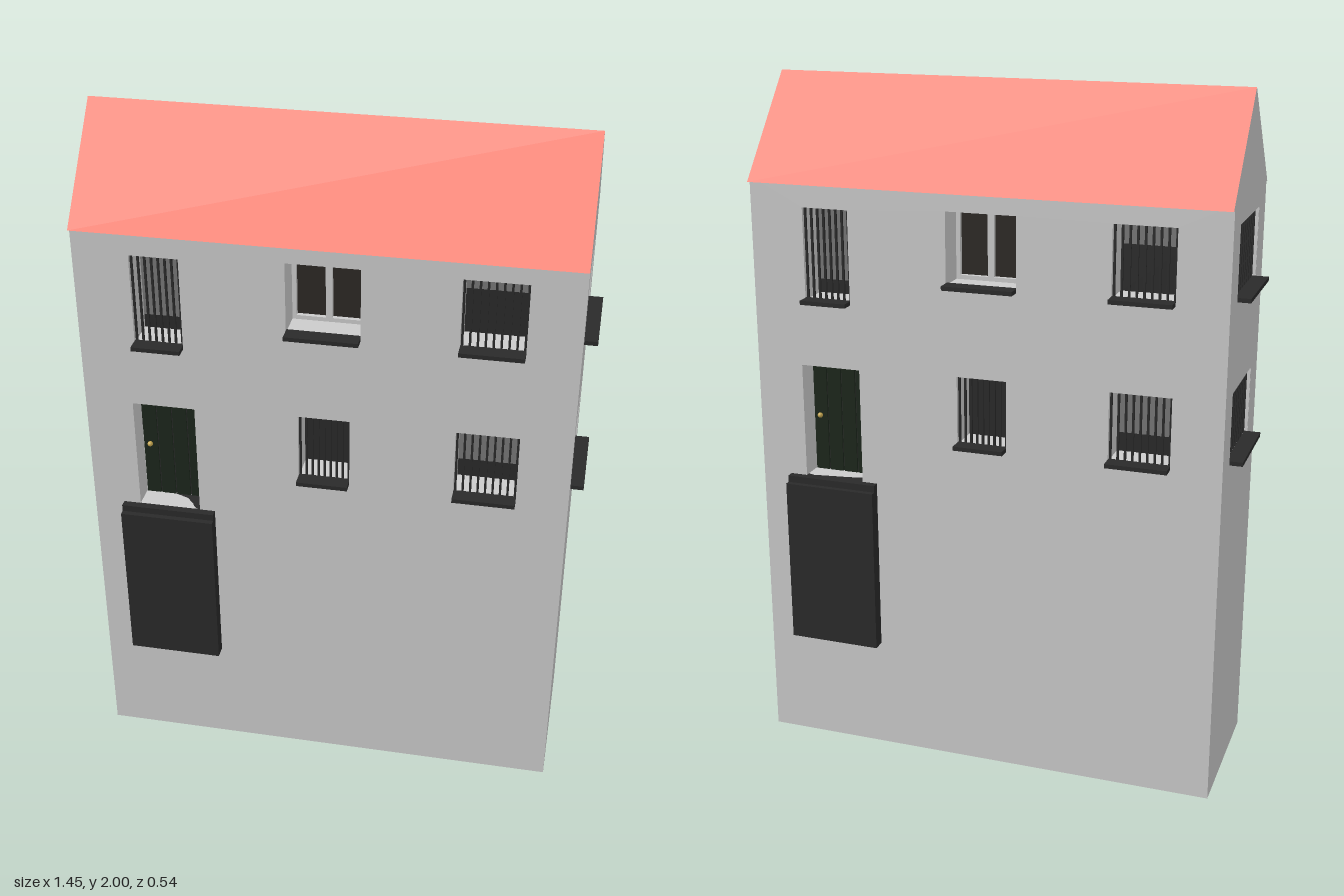
import * as THREE from 'three';

const mat = (color) => new THREE.MeshStandardMaterial({ color, side: THREE.DoubleSide });
const plaster = mat(0xcccccc);
const roofRed = mat(0xf0614a);
const iron = mat(0x2a2a2a);
const glass = mat(0x2c2824);
const blindGrey = mat(0x777777);
const doorGreen = mat(0x1c261b);
const brass = mat(0xc8a850);

function add(parent, name, geometry, material, x = 0, y = 0, z = 0) {
  const mesh = new THREE.Mesh(geometry, material);
  mesh.name = name;
  mesh.position.set(x, y, z);
  parent.add(mesh);
  return mesh;
}

// Box given by its limits on each axis
function box(parent, name, material, x0, x1, y0, y1, z0, z1) {
  return add(parent, name, new THREE.BoxGeometry(x1 - x0, y1 - y0, z1 - z0), material,
    (x0 + x1) / 2, (y0 + y1) / 2, (z0 + z1) / 2);
}

function rectPath(x0, x1, y0, y1, Type = THREE.Path) {
  return new Type([[x0, y0], [x1, y0], [x1, y1], [x0, y1]].map((p) => new THREE.Vector2(...p)));
}

// Thin wall with openings, outer face on local z = 0
function wall(name, outline, openings) {
  const group = new THREE.Group();
  group.name = name;
  const shape = new THREE.Shape(outline.map((p) => new THREE.Vector2(...p)));
  for (const o of openings) shape.holes.push(rectPath(o.x0, o.x1, o.y0, o.y1));
  add(group, name + 'Surface', new THREE.ShapeGeometry(shape), plaster);
  for (const o of openings) o.build(group, o);
  return group;
}

// Plastered sides of a recessed opening
function reveal(g, o, depth) {
  const e = 0.004;
  const ring = rectPath(o.x0 - e, o.x1 + e, o.y0 - e, o.y1 + e, THREE.Shape);
  ring.holes.push(rectPath(o.x0, o.x1, o.y0, o.y1));
  add(g, 'reveal', new THREE.ExtrudeGeometry(ring, { depth, bevelEnabled: false }), plaster, 0, 0, -depth - 0.001);
}

function sill(g, o) {
  box(g, 'sill', iron, o.x0, o.x1, o.y0 - 0.006, o.y0 + 0.006, -0.01, 0.037);
}

// Window with iron bars, a dark pane and a blind above it
function barredWindow(g, o) {
  const depth = 0.1;
  reveal(g, o, depth);
  sill(g, o);
  if (o.split > o.y0) box(g, 'pane', iron, o.x0, o.x1, o.y0, o.split, -depth - 0.005, -depth);
  if (o.split < o.y1) box(g, 'blind', blindGrey, o.x0, o.x1, o.split, o.y1, -depth - 0.005, -depth);
  for (let i = 0; i < o.bars; i++) {
    const x = o.x0 + 0.004 + (o.x1 - o.x0 - 0.008) * i / (o.bars - 1);
    box(g, 'bar', iron, x - 0.003, x + 0.003, o.y0, o.y1, -0.016, -0.01);
  }
}

// Two-light casement window
function casementWindow(g, o) {
  const depth = 0.1, mid = (o.x0 + o.x1) / 2;
  reveal(g, o, depth);
  sill(g, o);
  const frame = rectPath(o.x0, o.x1, o.y0, o.y1, THREE.Shape);
  frame.holes.push(rectPath(o.x0 + 0.012, mid - 0.009, o.y0 + 0.012, o.y1 - 0.016));
  frame.holes.push(rectPath(mid + 0.009, o.x1 - 0.012, o.y0 + 0.012, o.y1 - 0.016));
  add(g, 'windowFrame', new THREE.ExtrudeGeometry(frame, { depth: 0.015, bevelEnabled: false }), plaster, 0, 0, -depth);
  box(g, 'pane', glass, o.x0, o.x1, o.y0, o.y1, -depth - 0.004, -depth + 0.002);
}

// Planked door over a hanging landing panel
function doorway(g, o) {
  const depth = 0.07, planks = 4, w = (o.x1 - o.x0) / planks;
  reveal(g, o, depth);
  box(g, 'doorBacking', iron, o.x0, o.x1, o.y0, o.y1, -depth - 0.008, -depth - 0.003);
  for (let i = 0; i < planks; i++) {
    const x = o.x0 + i * w;
    box(g, 'doorPlank', doorGreen, x + 0.002, x + w - 0.002, o.y0, o.y1, -depth - 0.003, -depth + 0.003);
  }
  add(g, 'doorKnob', new THREE.SphereGeometry(0.008, 12, 8), brass, o.x0 + 0.022, 1.02, -depth + 0.009);
  box(g, 'landingPanel', iron, -0.6, -0.325, 0.335, 0.83, -0.03, 0.038);
  box(g, 'landingStep', iron, -0.6, -0.325, 0.83, 0.85, -0.001, 0.022);
  box(g, 'threshold', iron, o.x0, o.x1, 0.83, 0.85, -depth, 0);
}

// One long side, one gable end and one roof slope
function createHalf() {
  const half = new THREE.Group();
  half.name = 'houseHalf';
  const X = 0.688, Z = 0.23, eaveY = 1.715, eaveZ = 0.245;

  const front = wall('longWall', [[-X, 0], [X, 0], [X, 1.73], [-X, 1.73]], [
    { x0: -0.53, x1: -0.392, y0: 1.385, y1: 1.65, split: 1.425, bars: 8, build: barredWindow },
    { x0: -0.102, x1: 0.102, y0: 1.46, y1: 1.665, build: casementWindow },
    { x0: 0.368, x1: 0.543, y0: 1.46, y1: 1.662, split: 1.59, bars: 9, build: barredWindow },
    { x0: -0.55, x1: -0.37, y0: 0.85, y1: 1.19, build: doorway },
    { x0: -0.073, x1: 0.073, y0: 1.0, y1: 1.2, split: 1.2, bars: 9, build: barredWindow },
    { x0: 0.368, x1: 0.543, y0: 1.0, y1: 1.2, split: 1.055, bars: 9, build: barredWindow },
  ]);
  front.position.z = Z;
  half.add(front);

  const gable = wall('gableWall',
    [[-Z, 0], [Z, 0], [Z, eaveY], [eaveZ, eaveY], [0, 2], [-eaveZ, eaveY], [-Z, eaveY]], [
      { x0: -0.135, x1: 0.135, y0: 1.46, y1: 1.662, split: 1.545, bars: 10, build: barredWindow },
      { x0: -0.135, x1: 0.135, y0: 1.0, y1: 1.2, split: 1.16, bars: 10, build: barredWindow },
    ]);
  gable.rotation.y = Math.PI / 2;
  gable.position.x = X;
  half.add(gable);

  // Roof slope as a tilted sheet
  const rise = 2 - eaveY;
  const roof = add(half, 'roofSlope', new THREE.PlaneGeometry(2 * X, Math.hypot(rise, eaveZ)), roofRed,
    0, (2 + eaveY) / 2, eaveZ / 2);
  roof.rotation.x = -Math.atan2(eaveZ, rise);
  return half;
}

export function createModel() {
  const model = new THREE.Group();
  model.name = 'house';
  // The house repeats itself after half a turn
  const frontHalf = createHalf();
  const backHalf = createHalf();
  backHalf.rotation.y = Math.PI;
  model.add(frontHalf, backHalf);
  return model;
}
